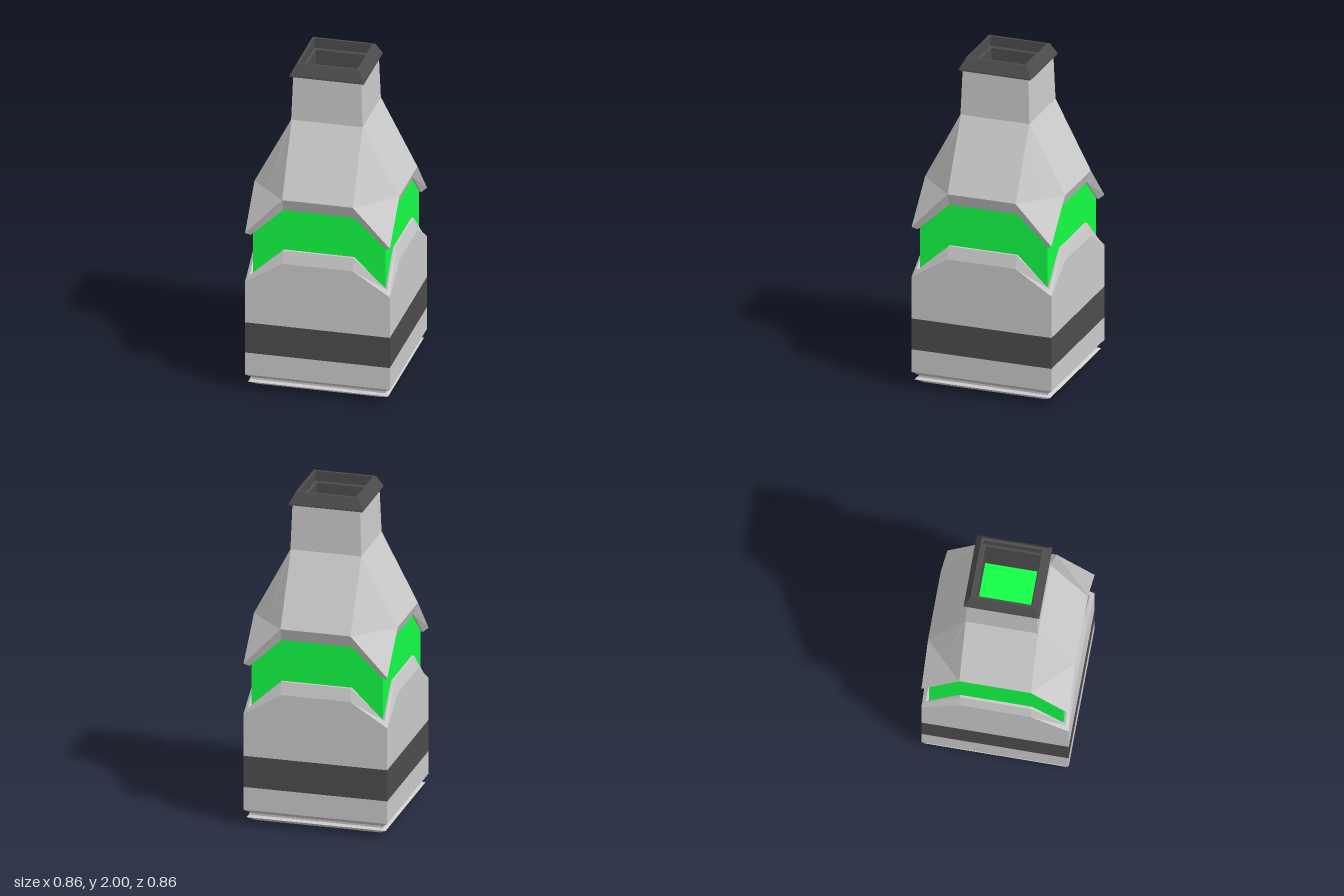
import * as THREE from 'three';

const grey = new THREE.MeshStandardMaterial({ color: 0xcccccc, flatShading: true });
const dark = new THREE.MeshStandardMaterial({ color: 0x4d4d4d, flatShading: true });
const green = new THREE.MeshStandardMaterial({ color: 0x14ff46, flatShading: true });

// Square ring of 12 points: each side has a corner and two inner points.
// w, y: half width and height of the side; yc, c: height and half width at the corner.
function ring([w, y, yc = y, c = w]) {
  const m = Math.min(0.21, w);
  const points = [];
  for (let side = 0; side < 4; side++) {
    for (const p of [[-c, yc, c], [-m, y, w], [m, y, w]]) {
      points.push(new THREE.Vector3(...p).applyAxisAngle(new THREE.Object3D().up, side * Math.PI / 2));
    }
  }
  return points;
}

// Skin a list of rings, leaving out collapsed triangles.
function loft(name, material, profile) {
  const rings = profile.map(ring);
  const positions = [];
  const triangle = (a, b, c) => {
    if (new THREE.Triangle(a, b, c).getArea() < 1e-7) return;
    for (const p of [a, b, c]) positions.push(p.x, p.y, p.z);
  };
  for (let r = 0; r < rings.length - 1; r++) {
    const low = rings[r], high = rings[r + 1];
    for (let i = 0; i < 12; i++) {
      const j = (i + 1) % 12;
      triangle(low[i], low[j], high[j]);
      triangle(low[i], high[j], high[i]);
    }
  }
  const geometry = new THREE.BufferGeometry();
  geometry.setAttribute('position', new THREE.Float32BufferAttribute(positions, 3));
  geometry.computeVertexNormals();
  const mesh = new THREE.Mesh(geometry, material);
  mesh.name = name;
  return mesh;
}

export function createModel() {
  const model = new THREE.Group();
  model.name = 'squareBottle';
  model.add(
    // Stepped foot with a groove under the body
    loft('base', grey, [
      [0, 0], [0.305, 0], [0.325, 0.012], [0.375, 0.022], [0.418, 0.05],
      [0.398, 0.06], [0.398, 0.072], [0.432, 0.1], [0.432, 0.24],
    ]),
    loft('band', dark, [[0.432, 0.24], [0.432, 0.432]]),
    // Body with a bevelled rim that dips at the corners
    loft('lowerBody', grey, [
      [0.432, 0.432], [0.432, 0.83, 0.69], [0.41, 0.905, 0.725], [0.39, 0.905, 0.73],
    ]),
    loft('glowingCore', green, [[0.395, 0.87, 0.69], [0.395, 1.18, 1.0]]),
    // Shoulder with pointed corners, tapering into the neck
    loft('shoulderAndNeck', grey, [
      [0.39, 1.16, 0.99], [0.405, 1.16, 0.98], [0.432, 1.235, 1.0],
      [0.432, 1.235, 1.235, 0.3225], [0.213, 1.65], [0.203, 1.93],
    ]),
    // Collar, open at the top, with its inner lining
    loft('collar', dark, [
      [0.195, 1.925], [0.222, 1.925], [0.22, 1.935], [0.187, 2], [0.172, 2],
      [0.172, 1.94], [0.162, 1.93], [0.162, 1.65],
    ]),
    loft('neckFloor', green, [[0.163, 1.65], [0, 1.65]]),
  );
  return model;
}
